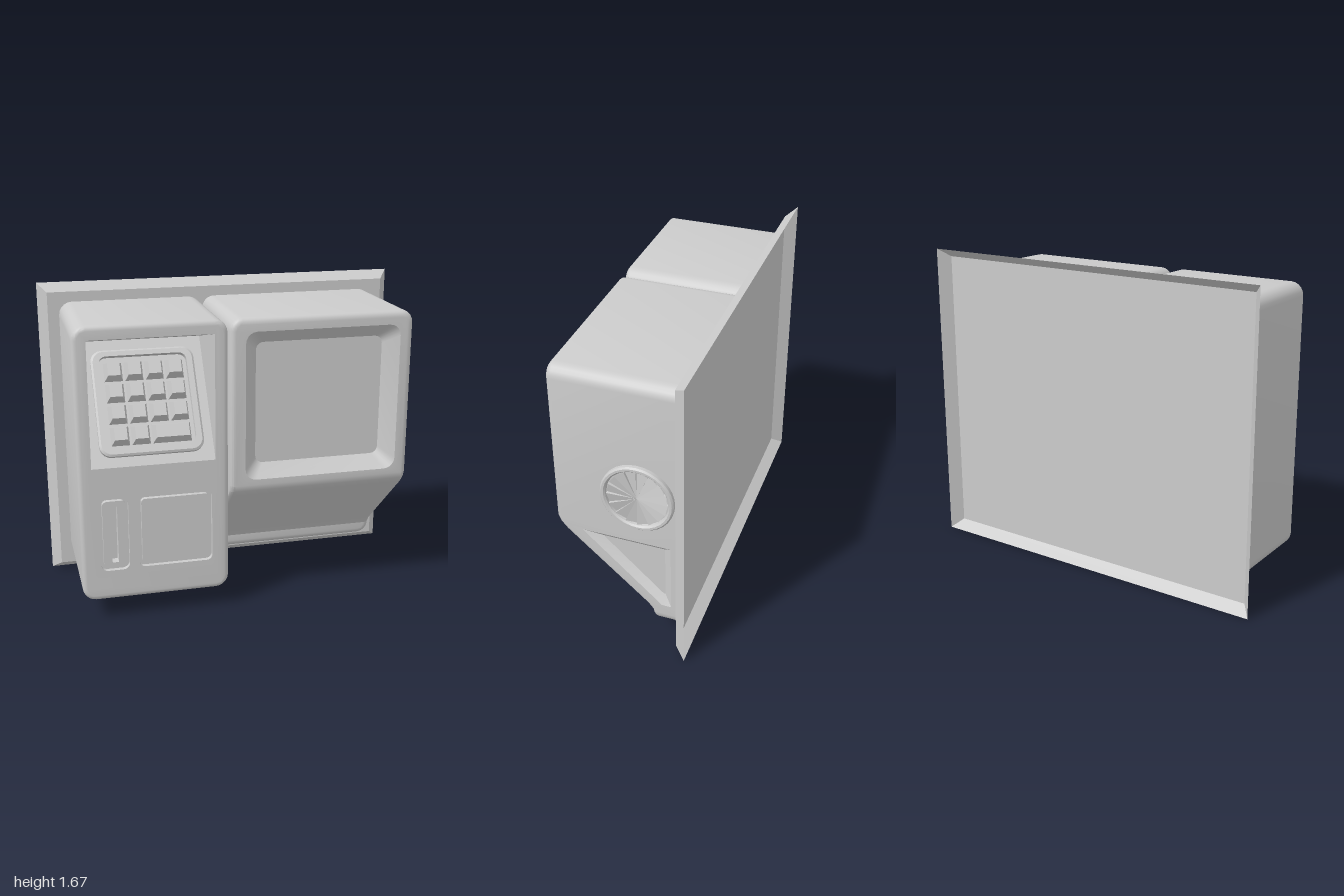
import * as THREE from 'three';
import { mergeGeometries, toCreasedNormals } from 'three/addons/utils/BufferGeometryUtils.js';

const material = new THREE.MeshStandardMaterial({ color: 0xcccccc, side: THREE.DoubleSide });
const V2 = (x, y) => new THREE.Vector2(x, y);

function mesh(name, parts, crease = 0.45) {
  const clean = [].concat(parts).map((g) => {
    const n = g.index ? g.toNonIndexed() : g;
    n.deleteAttribute('uv');
    n.deleteAttribute('normal');
    return n;
  });
  const m = new THREE.Mesh(toCreasedNormals(mergeGeometries(clean), crease), material);
  m.name = name;
  return m;
}

// Rounded rectangle, counter-clockwise; extra points at heights ys on both sides
function roundRect(x0, x1, y0, y1, r, ys = [], seg = 5) {
  const pts = [];
  const arc = (cx, cy, a) => {
    for (let i = 0; i <= seg; i++) {
      const t = a + (i / seg) * Math.PI / 2;
      pts.push(V2(cx + r * Math.cos(t), cy + r * Math.sin(t)));
    }
  };
  arc(x1 - r, y0 + r, -Math.PI / 2);
  ys.forEach((y) => pts.push(V2(x1, y)));
  arc(x1 - r, y1 - r, 0);
  arc(x0 + r, y1 - r, Math.PI / 2);
  [...ys].reverse().forEach((y) => pts.push(V2(x0, y)));
  arc(x0 + r, y0 + r, Math.PI);
  return pts;
}

const at = (pts, z) => pts.map((p) => [p.x, p.y, typeof z === 'function' ? z(p.y) : z]);

function triangles(list) {
  const g = new THREE.BufferGeometry();
  g.setAttribute('position', new THREE.Float32BufferAttribute(list.flat(), 3));
  return g;
}

// Skin a series of closed loops with equal point counts
function skin(loops, skip = () => false) {
  const t = [];
  for (let k = 0; k + 1 < loops.length; k++) {
    const a = loops[k], b = loops[k + 1];
    a.forEach((p, i) => {
      const j = (i + 1) % a.length;
      if (!skip(k, p, a[j])) t.push(p, a[j], b[j], p, b[j], b[i]);
    });
  }
  return triangles(t);
}

function cap(pts, z = 0, holes = []) {
  const s = new THREE.Shape(pts);
  holes.forEach((h) => s.holes.push(new THREE.Path(h)));
  const g = new THREE.ShapeGeometry(s);
  const p = g.attributes.position;
  for (let i = 0; i < p.count; i++) p.setZ(i, typeof z === 'function' ? z(p.getY(i)) : z);
  return g;
}

const fan = (pts) => triangles(pts.slice(2).flatMap((p, i) => [pts[0], pts[i + 1], p]));

// Outer wall plus rounded front edge of a housing
function shellLoops(x0, x1, y0, y1, r, b, front, ys) {
  const loops = [at(roundRect(x0, x1, y0, y1, r, ys), -0.3)];
  let rim;
  for (let k = 0; k <= 4; k++) {
    const t = (k / 4) * Math.PI / 2, i = b * (1 - Math.cos(t));
    rim = roundRect(x0 + i, x1 - i, y0 + i, y1 - i, r - i, ys);
    loops.push(at(rim, (y) => front(y) - b + b * Math.sin(t)));
  }
  return { loops, rim };
}

function wallPlate() {
  const outer = [V2(-1, 0), V2(1, 0), V2(1, 1.67), V2(-1, 1.67)];
  const inner = [V2(-0.95, 0.045), V2(0.95, 0.045), V2(0.95, 1.625), V2(-0.95, 1.625)];
  return mesh('wallPlate', [skin([at(outer, -0.36), at(inner, -0.3)]), cap(inner, -0.3)]);
}

function keypadHousing() {
  const F = 0.36, G = 0.335;
  const { loops, rim } = shellLoops(-0.89, -0.11, 0.11, 1.57, 0.07, 0.025, () => F, []);
  const [x0, x1] = [-0.82, -0.18];
  const niche = [V2(x0, 0.84), V2(x1, 0.84), V2(x1, 1.5), V2(x0, 1.5)];
  const card = roundRect(-0.79, -0.64, 0.275, 0.675, 0.035);
  const cardIn = roundRect(-0.775, -0.655, 0.29, 0.66, 0.025);
  const panel = roundRect(-0.59, -0.2, 0.28, 0.675, 0.03);
  const panelIn = roundRect(-0.573, -0.217, 0.297, 0.658, 0.02);
  const slot = roundRect(-0.732, -0.698, 0.32, 0.63, 0.004);
  const groove = (a, b) => skin([at(a, F), at(a, G), at(b, G), at(b, F)]);
  const parts = [skin(loops), cap(rim, F, [niche, card, panel])];
  // sloping niche: side walls, back panel, top
  for (const x of [x0, x1]) parts.push(fan([[x, 0.84, F], [x, 1.41, -0.02], [x, 1.5, F]]));
  parts.push(fan([[x0, 0.84, F], [x1, 0.84, F], [x1, 1.41, -0.02], [x0, 1.41, -0.02]]));
  parts.push(fan([[x0, 1.41, -0.02], [x1, 1.41, -0.02], [x1, 1.5, F], [x0, 1.5, F]]));
  // grooved card reader and access panel
  parts.push(groove(card, cardIn), cap(cardIn, F, [slot]), skin([at(slot, F), at(slot, 0.31)]), cap(slot, 0.31));
  parts.push(groove(panel, panelIn), cap(panelIn, F));
  return mesh('keypadHousing', parts);
}

function keypad() {
  const g = new THREE.Group();
  g.name = 'keypad';
  g.position.set(-0.5, 1.125, 0.17);
  g.rotation.x = -Math.atan2(0.38, 0.57);
  const outer = roundRect(-0.27, 0.27, -0.29, 0.28, 0.06);
  const mid = roundRect(-0.26, 0.26, -0.28, 0.27, 0.055);
  const inner = roundRect(-0.23, 0.23, -0.25, 0.245, 0.04);
  g.add(mesh('keypadBezel', skin([at(outer, 0), at(outer, 0.02), at(mid, 0.028), at(inner, 0.028), at(inner, 0)])));
  for (let row = 0; row < 4; row++) {
    for (let col = 0; col < 4; col++) {
      if (row === 3 && col === 3) continue;
      const wide = row === 3 && col === 2;
      const w = wide ? 0.202 : 0.095, h = 0.1;
      const key = new THREE.BoxGeometry(w, h, 0.05);
      const p = key.attributes.position;
      for (let i = 0; i < p.count; i++) {
        if (p.getZ(i) > 0) p.setXY(i, Math.sign(p.getX(i)) * (w / 2 - 0.015), Math.sign(p.getY(i)) * (h / 2 - 0.017));
      }
      const m = mesh('key', key, 0.2);
      m.position.set((col - 1.5 + (wide ? 0.5 : 0)) * 0.107 + 0.002, (1.5 - row) * 0.115 - 0.008, 0.025);
      g.add(m);
    }
  }
  return g;
}

function screenHousing() {
  // front depth by height: vertical foot, slanted underside, screen face
  const prof = [[0.11, -0.15], [0.18, -0.145], [0.22, -0.115], [0.61, 0.316], [0.645, 0.345], [0.68, 0.36], [1.57, 0.36]];
  const front = (y) => {
    const i = Math.max(1, prof.findIndex((p) => y <= p[0] + 1e-6));
    const [a, b] = [prof[i - 1], prof[i]];
    return a[1] + ((b[1] - a[1]) * (y - a[0])) / (b[0] - a[0]);
  };
  const ys = prof.slice(1, -1).map((p) => p[0]);
  const [x1, r, b] = [0.88, 0.065, 0.03];
  const { loops, rim } = shellLoops(-0.1, x1, 0.11, 1.57, r, b, front, ys);
  const onSide = (k, p, q) => k === 0 && Math.abs(p[0] - x1) < 1e-6 && Math.abs(q[0] - x1) < 1e-6;
  const parts = [skin(loops, onSide)];
  // front face in bands, the top one opened for the screen
  const hole = roundRect(-0.02, 0.81, 0.71, 1.5, 0.06);
  const glass = roundRect(0.05, 0.735, 0.78, 1.43, 0.04);
  const cuts = [0, ...ys, 2];
  for (let i = 0; i + 1 < cuts.length; i++) {
    const band = rim.filter((p) => p.y >= cuts[i] - 1e-6 && p.y <= cuts[i + 1] + 1e-6);
    parts.push(cap(band, front, i === cuts.length - 2 ? [hole] : []));
  }
  parts.push(skin([at(hole, 0.36), at(glass, 0.29)]), cap(glass, 0.29));
  // outer side wall with a sunken wedge-shaped panel
  const side = [0.11 + r, ...ys, 1.57 - r].map((y) => V2(b - front(y), y));
  const wall = [V2(0.3, 0.11 + r), V2(0.3, 1.57 - r), ...side.reverse()];
  const wedge = [V2(-0.22, 0.63), V2(0.2, 0.235), V2(0.25, 0.235), V2(0.25, 0.63)];
  const wedgeIn = [V2(-0.12, 0.595), V2(0.2, 0.29), V2(0.21, 0.29), V2(0.21, 0.595)];
  for (const g of [cap(wall, 0, [wedge]), skin([at(wedge, 0), at(wedgeIn, -0.03)]), cap(wedgeIn, -0.03)]) {
    parts.push(g.rotateY(Math.PI / 2).translate(x1, 0, 0));
  }
  return mesh('screenHousing', parts);
}

function sideVent() {
  const g = new THREE.Group();
  g.name = 'sideVent';
  g.position.set(0.88, 0.92, -0.085);
  g.rotation.z = -Math.PI / 2;
  const profile = [[0.19, 0], [0.19, 0.018], [0.182, 0.026], [0.17, 0.026], [0.162, 0.018], [0.16, 0.003], [0, 0.003]];
  g.add(mesh('ventRing', new THREE.LatheGeometry(profile.map((p) => V2(...p)), 32)));
  // overlapping tilted blades
  const n = 16, blades = [];
  const rim = (a, h) => [0.157 * Math.cos(a), h, 0.157 * Math.sin(a)];
  for (let i = 0; i < n; i++) {
    const a = (i / n) * Math.PI * 2, c = a + (Math.PI * 2) / n;
    blades.push(fan([[0, 0.014, 0], rim(c, 0.02), rim(a, 0.005)]));
    blades.push(fan([[0, 0.014, 0], rim(c, 0.005), rim(c, 0.02)]));
  }
  g.add(mesh('ventBlades', blades, 0.05));
  return g;
}

export function createModel() {
  const model = new THREE.Group();
  model.name = 'wallTerminal';
  model.add(wallPlate(), keypadHousing(), keypad(), screenHousing(), sideVent());
  return model;
}
